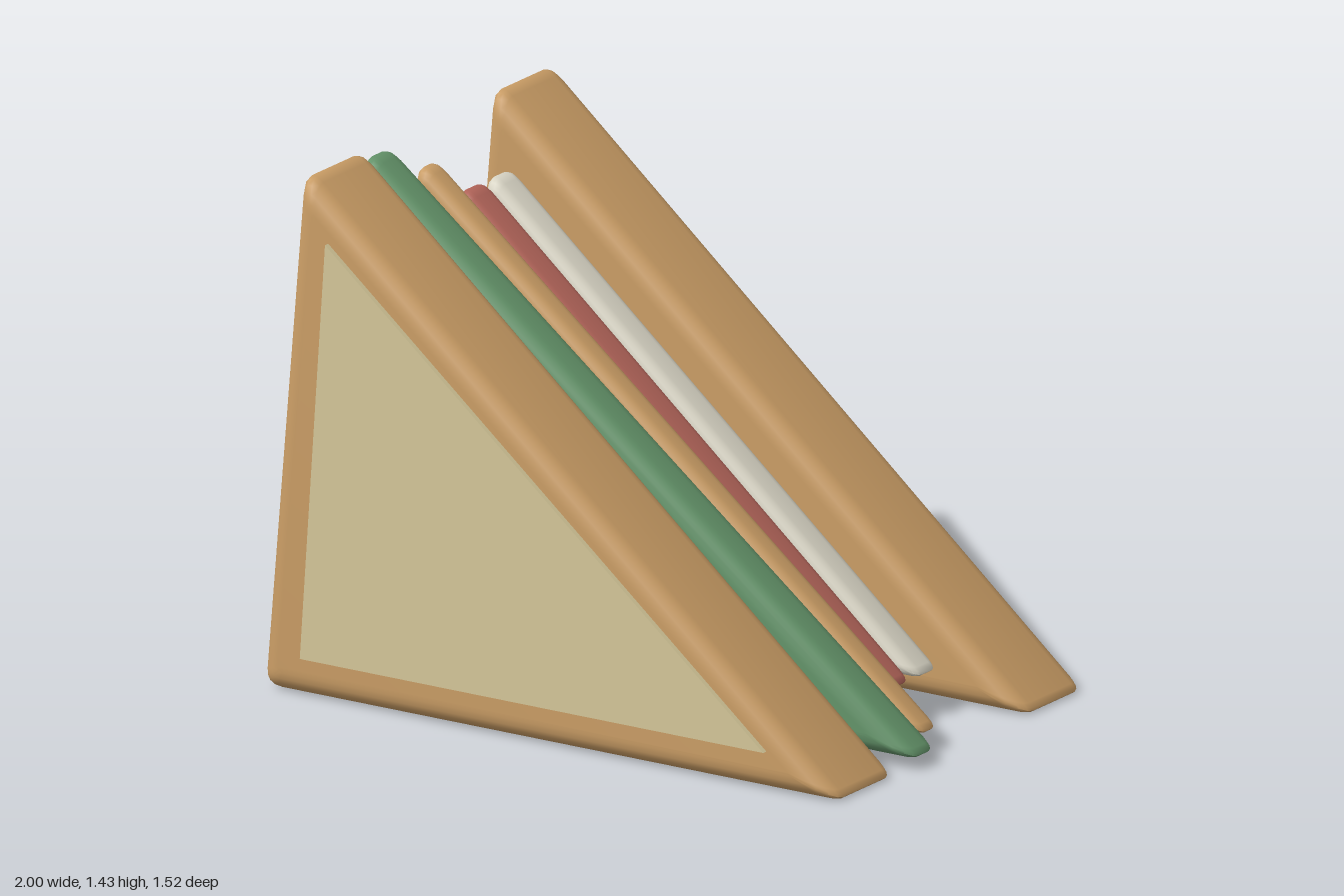
import * as THREE from 'three';
import { toCreasedNormals } from 'three/addons/utils/BufferGeometryUtils.js';

const material = (name, color) => {
  const m = new THREE.MeshStandardMaterial({ color });
  m.name = name;
  return m;
};

// Corner triangle shared by every layer: heel, tip, apex
const HEEL = [-0.912, 0], TIP = [0.925, 0], APEX = [-0.787, 1.455];
const ROUNDING = [0.05, 0.04, 0.06];
const BOX = { u0: -0.906, u1: 0.908, height: 1.43 };

// Fits the triangle to a layer's left, right, bottom and top
function fitTriangle(u0, u1, y0, y1) {
  return [HEEL, TIP, APEX].map(([x, y]) => new THREE.Vector2(
    u0 + (x - BOX.u0) * (u1 - u0) / (BOX.u1 - BOX.u0),
    y0 + y * (y1 - y0) / BOX.height));
}

// Moves every side of the triangle inward by d
function inset(tri, d) {
  return tri.map((p, i) => {
    const a = tri[(i + 1) % 3].clone().sub(p).normalize();
    const b = tri[(i + 2) % 3].clone().sub(p).normalize();
    const sine = Math.abs(a.cross(b));
    return p.clone().addScaledVector(a.add(b), d / sine);
  });
}

// Triangle outline with softly rounded corners
function roundedOutline(tri, scale) {
  const points = [];
  tri.forEach((p, i) => {
    const toward = (q) => p.clone().addScaledVector(q.clone().sub(p).normalize(), ROUNDING[i] * scale);
    const curve = new THREE.QuadraticBezierCurve(toward(tri[(i + 2) % 3]), p, toward(tri[(i + 1) % 3]));
    points.push(...curve.getPoints(4));
  });
  return points;
}

// Triangular slab between depths z0 and z1 with rounded rims
function slabGeometry(tri, z0, z1, bevel) {
  const outer = roundedOutline(tri, 1);
  const inner = roundedOutline(inset(tri, bevel), 0.3);
  const steps = 5, n = outer.length;
  const rings = [];
  for (let k = 0; k <= steps; k++) {
    const t = (k / steps) * Math.PI / 2;
    rings.push([Math.sin(t), z0 + bevel * (1 - Math.cos(t + Math.PI / 2 - 2 * t))]);
    rings[k][1] = z0 + bevel * (1 - Math.cos(t));
  }
  for (let k = steps; k >= 0; k--) rings.push([rings[k][0], z0 + z1 - rings[k][1]]);

  const positions = [], index = [];
  for (const [grow, z] of rings) {
    for (let i = 0; i < n; i++) {
      const p = inner[i].clone().lerp(outer[i], grow);
      positions.push(p.x, p.y, z);
    }
  }
  for (let k = 0; k < rings.length - 1; k++) {
    for (let i = 0; i < n; i++) {
      const a = k * n + i, b = k * n + (i + 1) % n;
      index.push(a, b, b + n, a, b + n, a + n);
    }
  }
  // Flat caps
  const last = (rings.length - 1) * n;
  for (let i = 1; i < n - 1; i++) {
    index.push(0, i + 1, i);
    index.push(last, last + i, last + i + 1);
  }
  const geometry = new THREE.BufferGeometry();
  geometry.setAttribute('position', new THREE.Float32BufferAttribute(positions, 3));
  geometry.setIndex(index);
  return toCreasedNormals(geometry, 0.7);
}

export function createModel() {
  const crust = material('crust brown', 0xcb9e66);
  const crumb = material('crumb cream', 0xd8ca9c);
  const green = material('lettuce green', 0x64946a);
  const red = material('tomato red', 0xb5665b);
  const white = material('filling white', 0xdcd8c8);

  const model = new THREE.Group();
  model.name = 'sandwich';
  const stack = new THREE.Group();
  stack.name = 'slicedStack';
  stack.rotation.y = -0.205;
  model.add(stack);

  // Bread and fillings: name, colour, left, right, bottom, top, back, front, rim
  const layers = [
    ['frontBread', crust, -0.906, 0.908, 0, 1.43, 0.295, 0.605, 0.055],
    ['lettuce', green, -0.94, 0.925, 0.03, 1.39, 0.12, 0.27, 0.05],
    ['cheese', crust, -0.855, 0.86, 0.05, 1.34, 0.02, 0.12, 0.035],
    ['tomato', red, -0.78, 0.685, 0.11, 1.26, -0.115, 0.01, 0.035],
    ['whiteFilling', white, -0.78, 0.685, 0.11, 1.26, -0.245, -0.125, 0.035],
    ['backBread', crust, -0.906, 0.908, 0, 1.43, -0.605, -0.295, 0.055],
  ];
  for (const [name, mat, u0, u1, y0, y1, z0, z1, bevel] of layers) {
    const mesh = new THREE.Mesh(slabGeometry(fitTriangle(u0, u1, y0, y1), z0, z1, bevel), mat);
    mesh.name = name;
    stack.add(mesh);
  }

  // Pale crumb panels on the two outer faces
  const panel = new THREE.Shape([[-0.77, 0.11], [0.7, 0.11], [-0.69, 1.27]].map(([x, y]) => new THREE.Vector2(x, y)));
  for (const [name, z] of [['frontCrumb', 0.6], ['backCrumb', -0.62]]) {
    const mesh = new THREE.Mesh(new THREE.ExtrudeGeometry(panel, { depth: 0.02, bevelEnabled: false }), crumb);
    mesh.name = name;
    mesh.position.z = z;
    stack.add(mesh);
  }
  return model;
}
